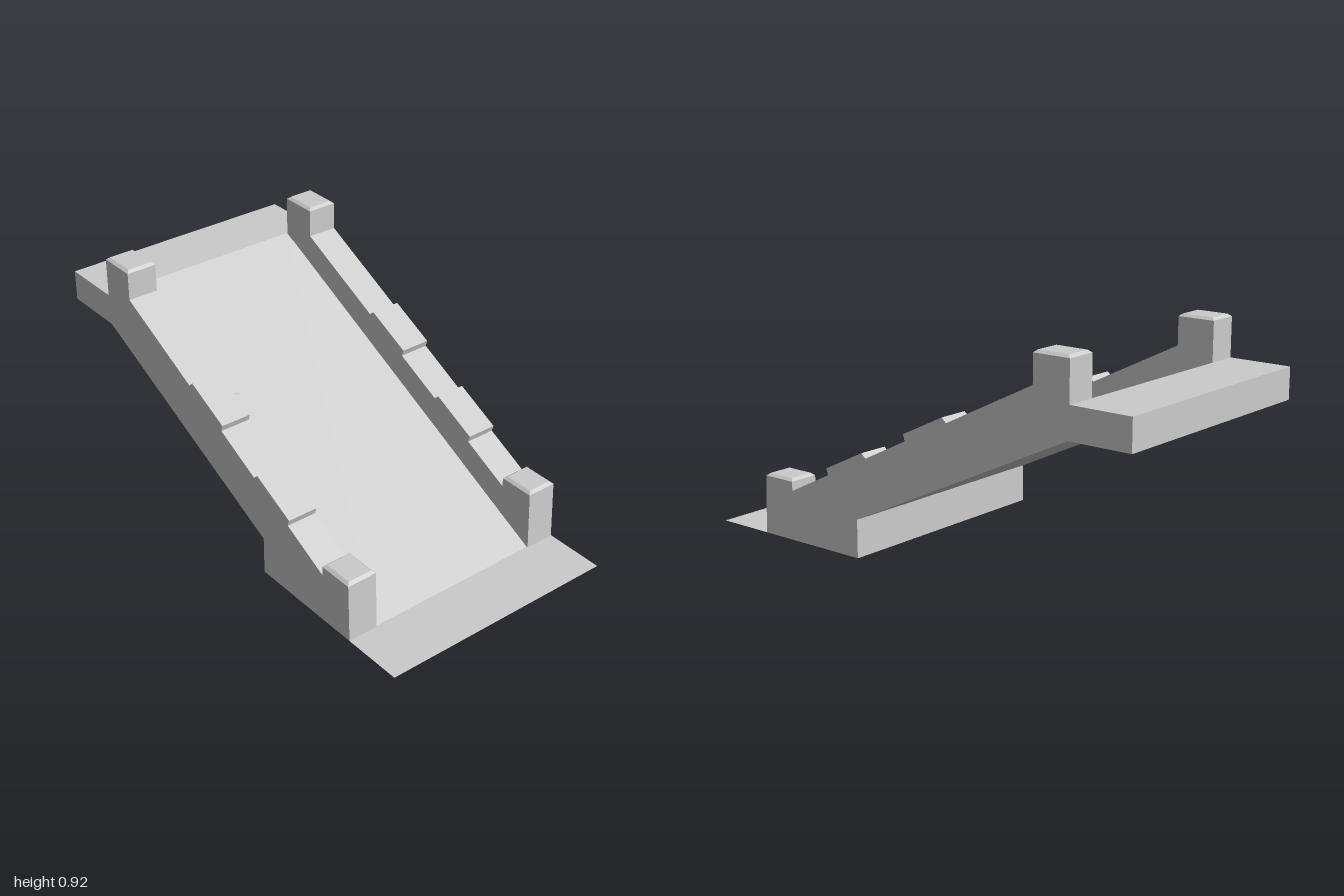
import * as THREE from 'three';

const material = new THREE.MeshStandardMaterial({ color: 0xcccccc, flatShading: true, side: THREE.DoubleSide });
const HALF = 0.5, INNER = 0.375;

// Profiles are [u, y] points, where u = -z runs from the foot to the landing.
const bump = (u) => {
  const line = 0.5 + u * 0.5;
  return [[u, line], [u - 0.008, line + 0.026], [u + 0.18, line + 0.118], [u + 0.2, line + 0.1]];
};
const railTop = [
  [-0.755, 0], [-0.745, 0.237], [-0.6, 0.237], [-0.6, 0.2],
  ...bump(-0.4), ...bump(0),
  [0.59, 0.795], [0.59, 0.907], [0.745, 0.907], [0.745, 0.75],
];
const underside = [[1, 0.75], [1, 0.625], [0.74, 0.625], [-0.25, 0.153], [-0.25, 0]];

function meshOf(name, geometry) {
  const mesh = new THREE.Mesh(geometry, material);
  mesh.name = name;
  return mesh;
}

function fromTriangles(points) {
  const g = new THREE.BufferGeometry();
  g.setAttribute('position', new THREE.Float32BufferAttribute(points.flat(), 3));
  g.computeVertexNormals();
  return g;
}

// Sweeps a profile across x as a run of flat quads
function strip(profile, x0, x1) {
  const tris = [];
  for (let i = 0; i < profile.length - 1; i++) {
    const [u0, y0] = profile[i], [u1, y1] = profile[i + 1];
    const a = [x0, y0, -u0], b = [x1, y0, -u0], c = [x1, y1, -u1], d = [x0, y1, -u1];
    tris.push(a, b, c, a, c, d);
  }
  return fromTriangles(tris);
}

// Flat upright wall with the given outline, facing +x or -x
function wall(outline, x, facing) {
  const flat = new THREE.ShapeGeometry(new THREE.Shape(outline.map(([u, y]) => new THREE.Vector2(u, y))));
  flat.rotateY(Math.PI / 2).translate(x, 0, 0);
  if (facing < 0) {
    flat.index.array.reverse();
    flat.computeVertexNormals();
  }
  return flat;
}

// Shallow bevelled lid for a post
function cap(u0, u1, y) {
  const w = HALF - INNER, d = u1 - u0, h = 0.01, inset = 0.012;
  const g = new THREE.BoxGeometry(w, h, d);
  const p = g.attributes.position;
  for (let i = 0; i < p.count; i++) {
    if (p.getY(i) > 0) {
      p.setX(i, p.getX(i) * (1 - 2 * inset / w));
      p.setZ(i, p.getZ(i) * (1 - 2 * inset / d));
    }
  }
  g.computeVertexNormals();
  return g.translate(0, y + h / 2, -(u0 + u1) / 2);
}

function createRail(side) {
  const rail = new THREE.Group();
  rail.name = side > 0 ? 'leftRail' : 'rightRail';
  const mid = side * (HALF + INNER) / 2, half = (HALF - INNER) / 2;
  rail.add(meshOf('railTop', strip(railTop, mid - half, mid + half)));
  rail.add(meshOf('outerWall', wall([...railTop, ...underside], side * HALF, side)));
  // The inner wall stops at the walking surface
  rail.add(meshOf('innerWall', wall([...railTop, [-0.75, 0]], side * INNER, -side)));
  for (const [name, u0, u1, y] of [['lowerPostCap', -0.745, -0.6, 0.237], ['upperPostCap', 0.59, 0.745, 0.907]]) {
    const lid = meshOf(name, cap(u0, u1, y));
    lid.position.x = mid;
    rail.add(lid);
  }
  return rail;
}

export function createModel() {
  const model = new THREE.Group();
  model.name = 'rampWithRails';

  // Walking surfaces and the shell below; the foot is open underneath
  model.add(meshOf('footPlate', strip([[-1, 0], [-0.75, 0]], -HALF, HALF)));
  model.add(meshOf('rampSurface', strip([[-0.75, 0], [0.75, 0.75]], -INNER, INNER)));
  model.add(meshOf('landing', strip([[0.745, 0.75], [1, 0.75]], -HALF, HALF)));
  model.add(meshOf('underside', strip(underside, -HALF, HALF)));

  model.add(createRail(1), createRail(-1));

  // Small pointed wedge lying on the ramp beside the right rail
  const tip = [-0.262, 0.475, -0.2], ridge = [-INNER, 0.5, -0.19];
  const low = [-INNER, 0.445, -0.14], high = [-INNER, 0.495, -0.24];
  model.add(meshOf('rampWedge', fromTriangles([low, tip, ridge, ridge, tip, high])));
  return model;
}
